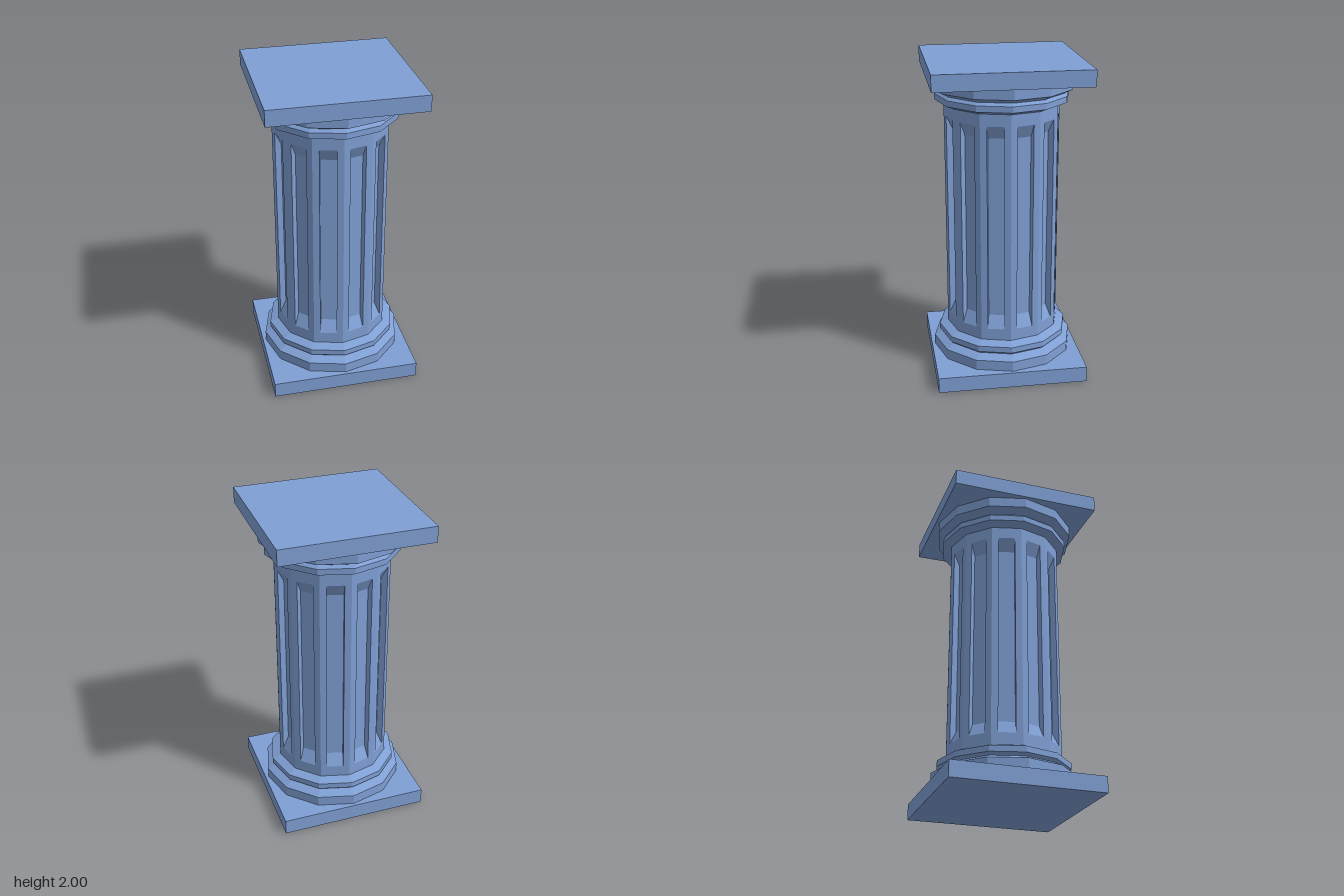
import * as THREE from 'three';
import { mergeGeometries } from 'three/addons/utils/BufferGeometryUtils.js';

const SIDES = 12;
const RADIUS = 0.36;

// Four corners of an upright rectangle, anticlockwise seen from +z
const rect = (halfWidth, y0, y1, z) => [
  [-halfWidth, y0, z], [halfWidth, y0, z], [halfWidth, y1, z], [-halfWidth, y1, z],
];

// One flat side of the shaft with a sunken flute whose ends slope inwards
function flutedPanel() {
  const half = Math.PI / SIDES;
  const z = RADIUS * Math.cos(half);
  const loops = [
    rect(RADIUS * Math.sin(half), 0.265, 1.735, z), // panel border
    rect(0.052, 0.345, 1.655, z),                   // flute opening
    rect(0.051, 0.425, 1.575, z - 0.04),            // flute floor
  ];
  const positions = [];
  const quad = (a, b, c, d) => positions.push(...a, ...b, ...c, ...a, ...c, ...d);
  for (let l = 0; l < 2; l++) {
    for (let i = 0; i < 4; i++) {
      const j = (i + 1) % 4;
      quad(loops[l][i], loops[l][j], loops[l + 1][j], loops[l + 1][i]);
    }
  }
  quad(...loops[2]);
  const geometry = new THREE.BufferGeometry();
  geometry.setAttribute('position', new THREE.Float32BufferAttribute(positions, 3));
  geometry.computeVertexNormals();
  return geometry;
}

// Twelve-sided stepped moulding, flat on every facet
function mouldingGeometry() {
  const profile = [
    [0, 0.1], [0.45, 0.1], [0.45, 0.165], [0.405, 0.188], [0.395, 0.193],
    [0.415, 0.21], [0.415, 0.247], [RADIUS, 0.27], [0, 0.27],
  ].map(([r, y]) => new THREE.Vector2(r, y));
  const geometry = new THREE.LatheGeometry(profile, SIDES).toNonIndexed();
  geometry.computeVertexNormals();
  return geometry;
}

export function createModel() {
  const model = new THREE.Group();
  model.name = 'column';
  const stone = new THREE.MeshStandardMaterial({ color: 0x7f9fd4, flatShading: true });
  stone.name = 'blue stone';

  const add = (name, geometry) => {
    const mesh = new THREE.Mesh(geometry, stone);
    mesh.name = name;
    model.add(mesh);
    return mesh;
  };

  // Square slabs at foot and head
  add('plinth', new THREE.BoxGeometry(0.94, 0.1, 0.94)).position.y = 0.05;
  add('abacus', new THREE.BoxGeometry(0.94, 0.1, 0.94)).position.y = 1.95;

  // Matching mouldings; the upper one is turned upside down
  const moulding = mouldingGeometry();
  add('baseMoulding', moulding);
  const capital = add('capitalMoulding', moulding);
  capital.rotation.x = Math.PI;
  capital.position.y = 2;

  // Fluted shaft
  const panels = [];
  for (let i = 0; i < SIDES; i++) {
    panels.push(flutedPanel().rotateY(((i + 0.5) * 2 * Math.PI) / SIDES));
  }
  add('flutedShaft', mergeGeometries(panels));

  return model;
}
